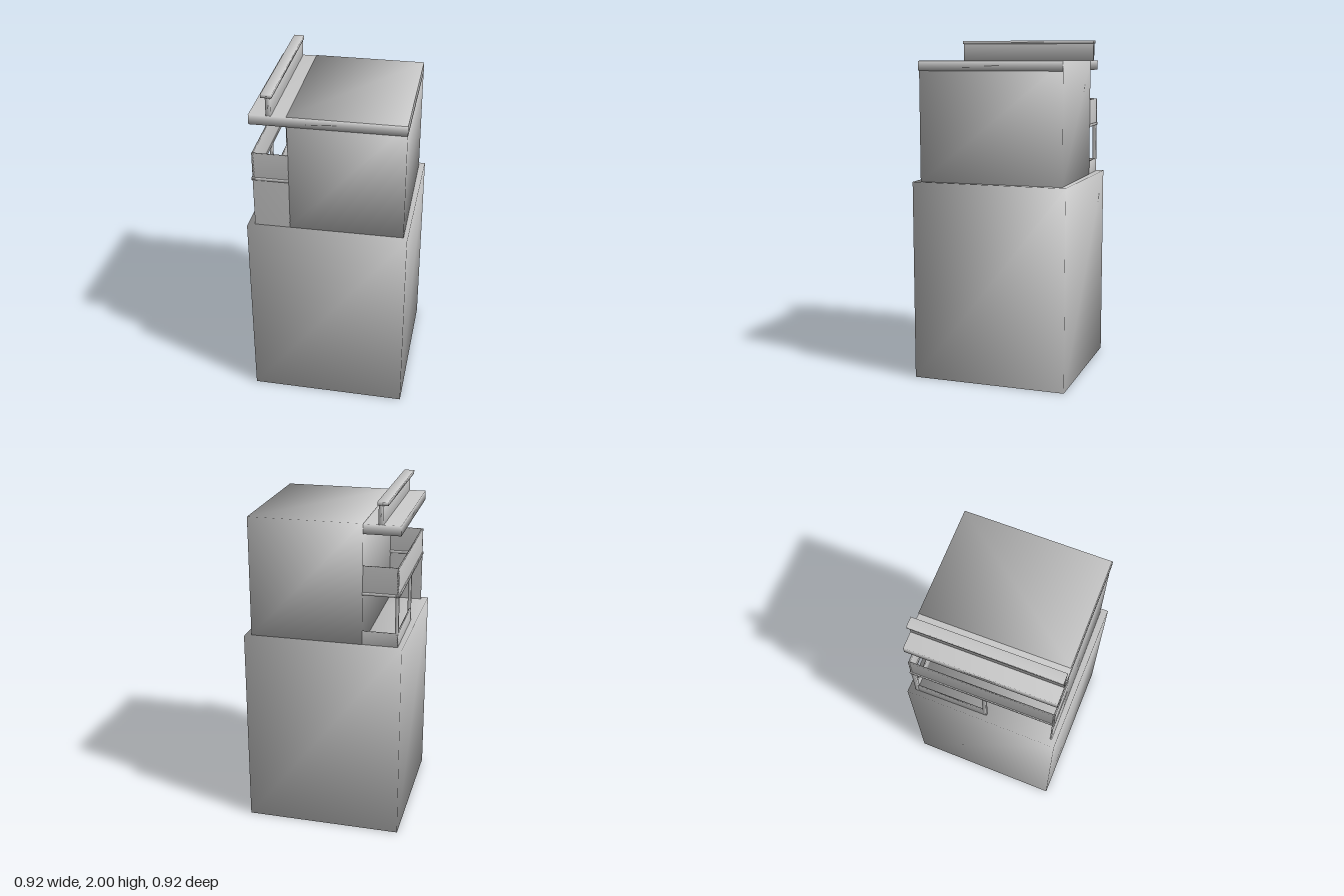
import * as THREE from 'three';
import { mergeVertices } from 'three/addons/utils/BufferGeometryUtils.js';

const material = new THREE.MeshStandardMaterial({ color: 0xcccccc });

// Box given by its limits on each axis, with corner normals shared for soft shading
function addBox(parent, name, [x0, x1], [y0, y1], [z0, z1]) {
  let geometry = new THREE.BoxGeometry(x1 - x0, y1 - y0, z1 - z0);
  geometry.deleteAttribute('normal');
  geometry.deleteAttribute('uv');
  geometry = mergeVertices(geometry);
  geometry.computeVertexNormals();
  const mesh = new THREE.Mesh(geometry, material);
  mesh.name = name;
  mesh.position.set((x0 + x1) / 2, (y0 + y1) / 2, (z0 + z1) / 2);
  parent.add(mesh);
  return mesh;
}

export function createModel() {
  const model = new THREE.Group();
  model.name = 'towerBuilding';

  // Lower storeys
  addBox(model, 'lowerBlock', [-0.46, 0.46], [0, 1.18], [-0.46, 0.46]);

  // The upper part sits very slightly turned on the base
  const upper = new THREE.Group();
  upper.name = 'upperPart';
  upper.rotation.y = 0.013;
  model.add(upper);

  addBox(upper, 'upperBlock', [-0.222, 0.43], [1.18, 1.878], [-0.427, 0.425]);

  // Roof slab, reaching out over the balcony
  addBox(upper, 'roofSlab', [-0.43, 0.431], [1.82, 1.876], [-0.425, 0.43]);

  // T-shaped rail along the canopy
  const rail = new THREE.Group();
  rail.name = 'roofRail';
  upper.add(rail);
  addBox(rail, 'railWeb', [-0.333, -0.305], [1.876, 1.982], [-0.424, 0.428]);
  addBox(rail, 'railCap', [-0.357, -0.297], [1.98, 2.0], [-0.425, 0.429]);

  // Balcony: thin parapet walls on a projecting ledge
  const balcony = new THREE.Group();
  balcony.name = 'balcony';
  upper.add(balcony);
  const outer = -0.425, inner = -0.22, back = -0.425, front = 0.425, t = 0.01;

  function wallRing(name, y, grow) {
    const x = outer - grow, b = back - grow, f = front + grow, w = t + 2 * grow;
    addBox(balcony, name + 'Side', [x, x + w], y, [b, f]);
    addBox(balcony, name + 'Back', [x, inner], y, [b, b + w]);
    addBox(balcony, name + 'Front', [x, inner], y, [f - w, f]);
  }
  wallRing('parapet', [1.485, 1.64], 0);
  wallRing('ledge', [1.474, 1.49], 0.005);

  // Solid front wall below the ledge
  addBox(balcony, 'frontWall', [outer, inner], [1.18, 1.48], [front - t, front]);

  // Low wall around the rear half
  addBox(balcony, 'lowWallSide', [outer, outer + t], [1.18, 1.26], [back, 0.02]);
  addBox(balcony, 'lowWallBack', [outer, inner], [1.18, 1.26], [back, back + t]);

  // Posts carrying the ledge
  for (const z of [back, 0]) {
    addBox(balcony, 'post', [outer, outer + 0.018], [1.18, 1.48], [z, z + 0.022]);
  }

  return model;
}
